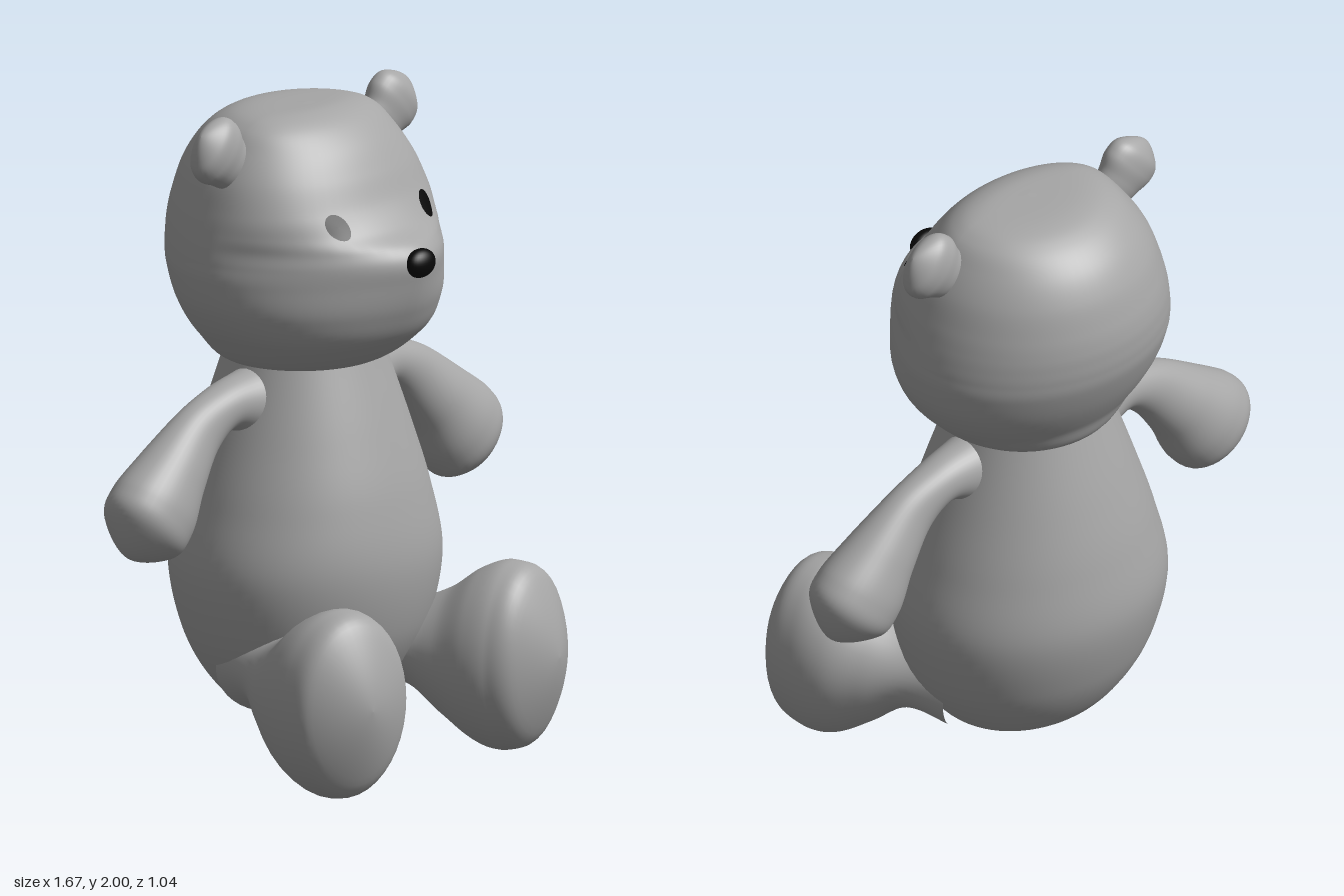
import * as THREE from 'three';

const fur = new THREE.MeshStandardMaterial({ color: 0xa6a6a6 });
fur.name = 'grey fur';
const black = new THREE.MeshStandardMaterial({ color: 0x080808 });
black.name = 'black';

const MID = -0.12; // depth of the widest line of body and head

// Catmull-Rom through rows of numbers, s counted in rows
function sample(rows, s) {
  const i = Math.min(Math.floor(s), rows.length - 2), t = s - i;
  const b = rows[i], c = rows[i + 1];
  const a = rows[i - 1] || b.map((v, k) => 2 * v - c[k]);
  const d = rows[i + 2] || c.map((v, k) => 2 * v - b[k]);
  return b.map((v, k) => 0.5 * (2 * v + (c[k] - a[k]) * t
    + (2 * a[k] - 5 * v + 4 * c[k] - d[k]) * t * t
    + (3 * v - a[k] - 3 * c[k] + d[k]) * t * t * t));
}

// Skin of rings, each closed on itself
function skin(rings) {
  const n = rings[0].length, index = [];
  for (let i = 0; i < rings.length - 1; i++) {
    for (let j = 0; j < n; j++) {
      const a = i * n + j, b = i * n + (j + 1) % n;
      index.push(a, b, b + n, a, b + n, a + n);
    }
  }
  const g = new THREE.BufferGeometry();
  g.setAttribute('position', new THREE.Float32BufferAttribute(rings.flat(2), 3));
  g.setIndex(index);
  g.computeVertexNormals();
  return g;
}

// Upright form, rows: [y, half width, front z, back z, front roundness]
function upright(rows, steps = 8, n = 64) {
  const rings = [];
  for (let k = 0; k <= (rows.length - 1) * steps; k++) {
    const [y, rx, zf, zb, p] = sample(rows, k / steps);
    rings.push(Array.from({ length: n }, (_, j) => {
      const a = (j / n) * Math.PI * 2, c = Math.cos(a), s = -Math.sin(a);
      const e = s > 0 ? 2 / p : 1;
      return [rx * Math.sign(c) * Math.abs(c) ** e, y,
        s > 0 ? MID + (zf - MID) * s ** e : MID + (MID - zb) * s];
    }));
  }
  return skin(rings);
}

// Limb along a path, rows: [x, y, z, radius across, radius along flat axis]
function limb(rows, flat, side, steps = 8, n = 40) {
  const last = rows.length - 1, prev = rows[last - 1];
  // a mirrored row past the tip keeps the end round
  const path = [...rows, [prev[0], prev[1], prev[2], -prev[3], -prev[4]]];
  const pts = [];
  for (let k = 0; k <= last * steps; k++) {
    const r = sample(path, k / steps);
    r[0] *= side;
    pts.push(r);
  }
  return skin(pts.map((r, k) => {
    const a = pts[Math.max(k - 1, 0)], b = pts[Math.min(k + 1, pts.length - 1)];
    const t = new THREE.Vector3(b[0] - a[0], b[1] - a[1], b[2] - a[2]);
    const u = new THREE.Vector3().crossVectors(flat, t).normalize();
    return Array.from({ length: n }, (_, j) => {
      const q = (j / n) * Math.PI * 2;
      return new THREE.Vector3(r[0], r[1], r[2])
        .addScaledVector(u, r[3] * Math.cos(q))
        .addScaledVector(flat, r[4] * Math.sin(q)).toArray();
    });
  }));
}

const BODY = [
  [0.165, 0, MID, MID, 2], [0.165, 0.13, 0.0, -0.23, 2], [0.18, 0.24, 0.09, -0.31, 2],
  [0.26, 0.33, 0.155, -0.385, 2], [0.4, 0.405, 0.225, -0.455, 2], [0.6, 0.44, 0.26, -0.5, 2],
  [0.8, 0.395, 0.235, -0.475, 2], [1.0, 0.33, 0.18, -0.425, 2], [1.23, 0.25, 0.105, -0.355, 2],
];
const HEAD = [
  [1.205, 0, MID, MID, 2], [1.207, 0.23, 0.09, -0.345, 2], [1.3, 0.355, 0.235, -0.41, 2],
  [1.4, 0.42, 0.3, -0.467, 1.8], [1.5, 0.44, 0.333, -0.508, 1.6], [1.56, 0.437, 0.342, -0.52, 1.55],
  [1.605, 0.43, 0.315, -0.523, 1.6], [1.65, 0.42, 0.245, -0.522, 1.9], [1.71, 0.403, 0.192, -0.512, 2.15],
  [1.8, 0.37, 0.147, -0.485, 2.1], [1.88, 0.32, 0.097, -0.437, 2], [1.94, 0.265, 0.035, -0.365, 2],
  [1.97, 0.18, -0.035, -0.275, 2], [1.975, 0, MID, MID, 2],
];
const EAR = [
  [0.26, 1.78, -0.125, 0.1, 0.07], [0.31, 1.83, -0.125, 0.078, 0.05], [0.35, 1.862, -0.125, 0.086, 0.054],
  [0.39, 1.897, -0.125, 0.105, 0.06], [0.43, 1.931, -0.125, 0.088, 0.05], [0.463, 1.958, -0.125, 0, 0],
];
const ARM = [
  [0.16, 1.08, -0.125, 0.16, 0.13], [0.27, 1.11, -0.125, 0.1, 0.09], [0.37, 1.11, -0.127, 0.073, 0.072],
  [0.48, 1.055, -0.127, 0.09, 0.072], [0.59, 0.955, -0.127, 0.12, 0.1], [0.68, 0.855, -0.127, 0.153, 0.122],
  [0.74, 0.79, -0.127, 0.132, 0.105], [0.79, 0.735, -0.127, 0, 0],
];
const LEG = [
  [0.2, 0.31, -0.06, 0.19, 0.15], [0.265, 0.31, 0.06, 0.165, 0.125], [0.315, 0.285, 0.17, 0.19, 0.19],
  [0.355, 0.285, 0.27, 0.218, 0.265], [0.385, 0.29, 0.36, 0.212, 0.287], [0.405, 0.295, 0.445, 0.17, 0.235],
  [0.42, 0.3, 0.515, 0, 0],
];

// Depth of the face at a point seen from the front
function faceZ(x, y) {
  let lo = 1, hi = HEAD.length - 2;
  for (let k = 0; k < 25; k++) {
    const m = (lo + hi) / 2;
    if (sample(HEAD, m)[0] < y) lo = m; else hi = m;
  }
  const [, rx, zf, , p] = sample(HEAD, lo);
  return MID + (zf - MID) * (1 - Math.abs(x / rx) ** p) ** (1 / p);
}

// Thin oval lying on the face
function eye(side) {
  const g = new THREE.RingGeometry(0, 1, 28, 4);
  g.scale(0.034, 0.037, 1).rotateZ(-side * 0.4).translate(side * 0.197, 1.68, 0);
  const p = g.attributes.position;
  for (let i = 0; i < p.count; i++) p.setZ(i, faceZ(p.getX(i), p.getY(i)) + 0.005);
  g.computeVertexNormals();
  return g;
}

export function createModel() {
  const model = new THREE.Group();
  model.name = 'bear';
  const add = (name, geometry, material = fur) => {
    const mesh = new THREE.Mesh(geometry, material);
    mesh.name = name;
    model.add(mesh);
    return mesh;
  };

  add('body', upright(BODY));
  add('head', upright(HEAD));

  const nose = add('nose', new THREE.SphereGeometry(1, 32, 20), black);
  nose.scale.set(0.057, 0.044, 0.034);
  nose.position.set(0, 1.56, 0.333);

  // Paired parts
  const zAxis = new THREE.Vector3(0, 0, 1), yAxis = new THREE.Vector3(0, 1, 0);
  for (const [side, label] of [[1, 'left'], [-1, 'right']]) {
    add(label + 'Ear', limb(EAR, zAxis, side));
    add(label + 'Arm', limb(ARM, zAxis, side));
    add(label + 'Leg', limb(LEG, yAxis, side));
    add(label + 'Eye', eye(side), black);
  }
  return model;
}
